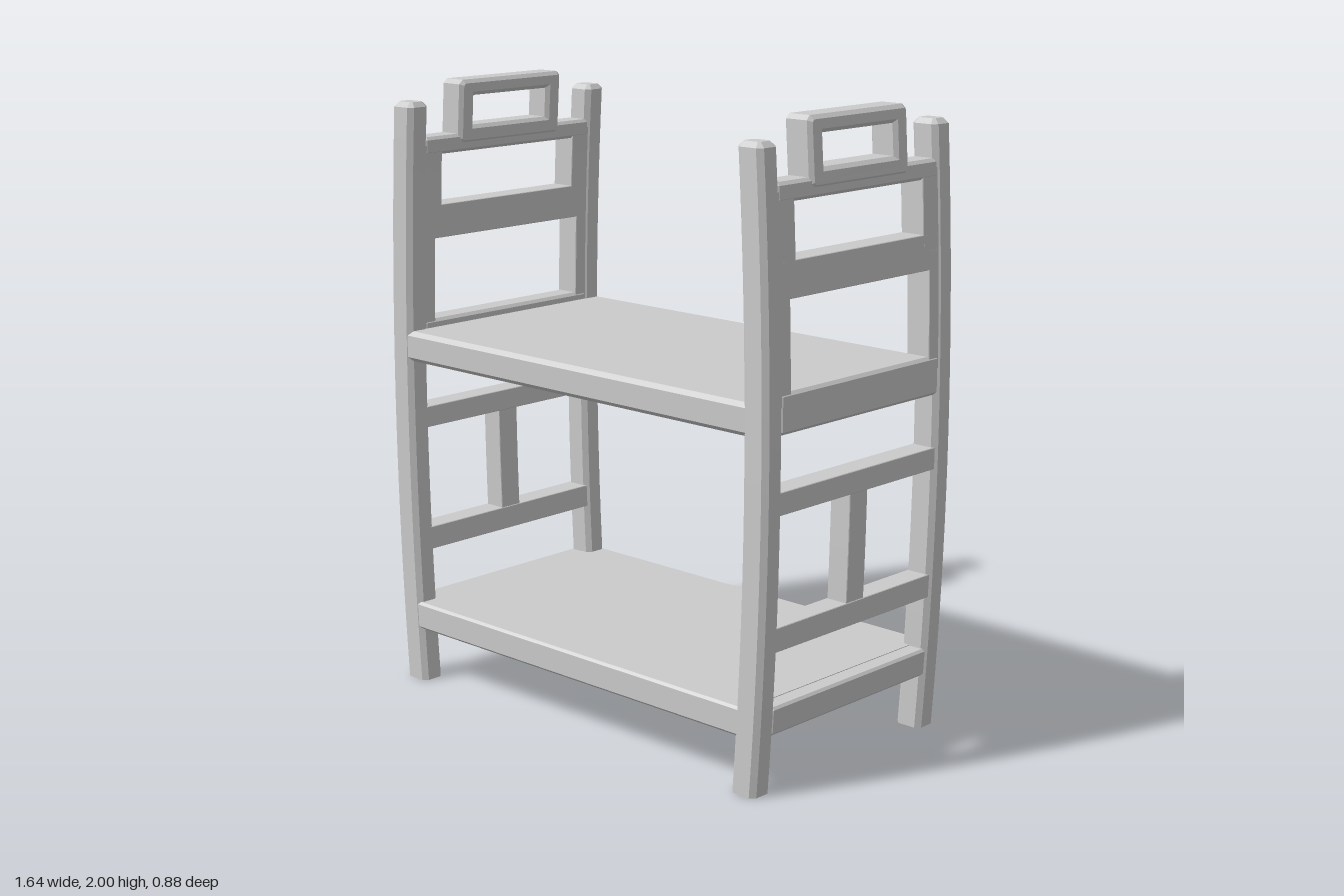
import * as THREE from 'three';
import { toCreasedNormals } from 'three/addons/utils/BufferGeometryUtils.js';

const material = new THREE.MeshStandardMaterial({ color: 0xcccccc });

// Distance of the bowed end frames from the middle, by height
const bow = (y) => 0.773 - 0.037 * (y - 1) ** 2;

function addMesh(parent, name, geometry) {
  const mesh = new THREE.Mesh(toCreasedNormals(geometry, 0.35), material);
  mesh.name = name;
  parent.add(mesh);
}

// Shift every vertex sideways so the part follows the bow
function bend(geometry, side) {
  const p = geometry.attributes.position;
  for (let i = 0; i < p.count; i++) {
    const y = Math.max(0, p.getY(i)); // feet stay flat on the ground
    p.setXYZ(i, p.getX(i) + side * bow(y), y, p.getZ(i));
  }
  return geometry;
}

// Rectangle with cut corners, centred on the origin
function cutRect(w, h, c) {
  const x = w / 2, y = h / 2;
  return new THREE.Shape([
    [x - c, -y], [x, -y + c], [x, y - c], [x - c, y],
    [-x + c, y], [-x, y - c], [-x, -y + c], [-x + c, -y],
  ].map(([a, b]) => new THREE.Vector2(a, b)));
}

// Upright block between two heights, chamfered by c on all edges
function block(thick, z0, z1, y0, y1, c) {
  const g = new THREE.ExtrudeGeometry(cutRect(thick, z1 - z0, c), {
    depth: y1 - y0 - 2 * c, steps: Math.max(1, Math.round((y1 - y0) * 10)),
    bevelEnabled: true, bevelSize: c, bevelThickness: c, bevelOffset: -c, bevelSegments: 1,
  });
  g.rotateX(-Math.PI / 2);
  g.translate(0, y0 + c, (z0 + z1) / 2);
  return g;
}

// Crest with a hand hole
function crest() {
  const c = 0.012, thick = 0.1;
  const shape = cutRect(0.45, 0.21, 0.014);
  shape.holes.push(new THREE.Path([
    [-0.162, -0.045], [-0.162, 0.052], [0.162, 0.052], [0.162, -0.045],
  ].map(([a, b]) => new THREE.Vector2(a, b))));
  const g = new THREE.ExtrudeGeometry(shape, {
    depth: thick - 2 * c, bevelEnabled: true, bevelSize: c, bevelThickness: c,
    bevelOffset: -c, bevelSegments: 1,
  });
  g.translate(0, 0, -thick / 2 + c);
  g.rotateY(Math.PI / 2);
  g.translate(0, 1.895, 0);
  return g;
}

// Deck board with softened long edges
function deck(y0, y1, r) {
  const g = new THREE.ExtrudeGeometry(cutRect(0.872, y1 - y0, r), { depth: 1.48, bevelEnabled: false });
  g.translate(0, 0, -0.74);
  g.rotateY(Math.PI / 2);
  g.translate(0, (y0 + y1) / 2, 0);
  return g;
}

function endFrame(side) {
  const frame = new THREE.Group();
  frame.name = side > 0 ? 'leftEndFrame' : 'rightEndFrame';
  const add = (name, ...args) => addMesh(frame, name, bend(block(...args), side));

  for (const s of [-1, 1]) {
    const span = (a, b) => (s > 0 ? [a, b] : [-b, -a]);
    add('post', 0.095, ...span(0.356, 0.438), -0.016, 1.942, 0.016);
    // Cheeks that narrow the two upper openings
    add('upperCheek', 0.085, ...span(0.295, 0.37), 1.55, 1.8, 0.002);
    add('middleCheek', 0.085, ...span(0.322, 0.37), 1.18, 1.55, 0.002);
  }

  // Cross rails: name, bottom, top, thickness, chamfer
  const rails = [
    ['topRail', 1.765, 1.825, 0.088, 0.01],
    ['backRail', 1.49, 1.6, 0.085, 0.002],
    ['deckRail', 1.098, 1.222, 0.09, 0.01],
    ['upperSideRail', 0.86, 0.93, 0.08, 0.002],
    ['lowerSideRail', 0.442, 0.518, 0.08, 0.002],
    ['shelfRail', 0.18, 0.27, 0.088, 0.008],
  ];
  for (const [name, y0, y1, thick, c] of rails) add(name, thick, -0.37, 0.37, y0, y1, c);

  add('mullion', 0.075, -0.041, 0.041, 0.5, 0.88, 0.002);
  addMesh(frame, 'crest', bend(crest(), side));
  return frame;
}

export function createModel() {
  const model = new THREE.Group();
  model.name = 'bunkBed';
  for (const side of [-1, 1]) model.add(endFrame(side));
  addMesh(model, 'upperDeck', deck(1.095, 1.195, 0.014));
  addMesh(model, 'lowerDeck', deck(0.18, 0.272, 0.008));
  return model;
}
